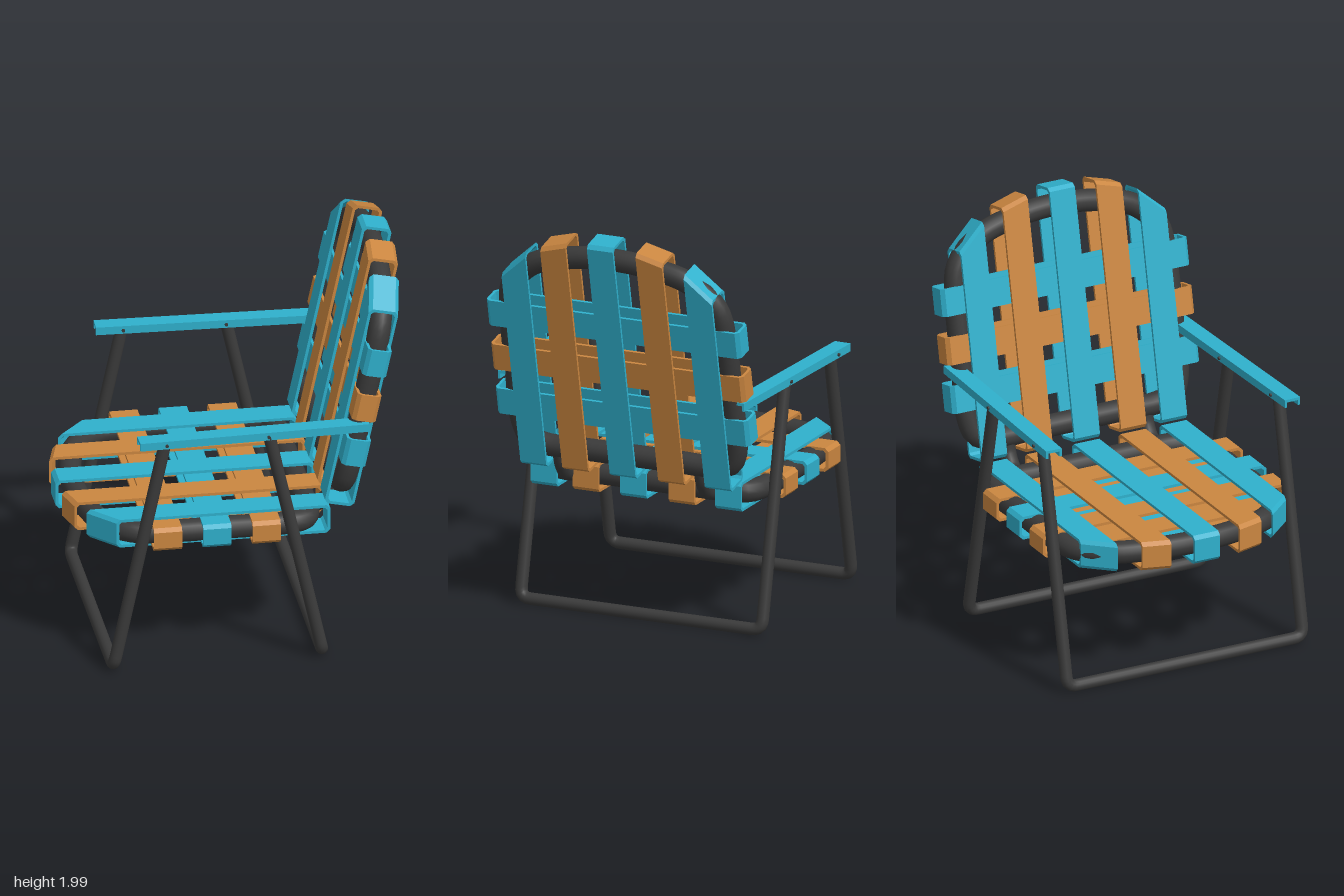
import * as THREE from 'three';

const black = new THREE.MeshStandardMaterial({ color: 0x3a3a3a });
const blue = new THREE.MeshStandardMaterial({ color: 0x2fb0cc });
const orange = new THREE.MeshStandardMaterial({ color: 0xca8640 });

function add(parent, name, geometry, material) {
  const mesh = new THREE.Mesh(geometry, material);
  mesh.name = name;
  parent.add(mesh);
  return mesh;
}

const vec = (p) => new THREE.Vector3(...p);

// Chamfered rectangle outline, as a list of points
function chamferedRect(x0, x1, h, c) {
  return [[x0 + c, -h], [x1 - c, -h], [x1, -h + c], [x1, h - c],
    [x1 - c, h], [x0 + c, h], [x0, h - c], [x0, -h + c]]
    .map(([x, y]) => new THREE.Vector2(x, y));
}

// Webbing loop: a flat ring along x, with its far end skewed across its width
function strapGeometry(x0, x1, h, width, skew = 0) {
  const t = 0.014;
  const shape = new THREE.Shape(chamferedRect(x0, x1, h, 0.018));
  shape.holes.push(new THREE.Path(chamferedRect(x0 + t, x1 - t, h - t, 0.012)));
  const g = new THREE.ExtrudeGeometry(shape, { depth: width, bevelEnabled: false });
  g.translate(0, 0, -width / 2);
  const p = g.attributes.position;
  const mid = (x0 + x1) / 2;
  for (let i = 0; i < p.count; i++) {
    if (p.getX(i) > mid) p.setX(i, p.getX(i) + skew * p.getZ(i));
  }
  g.computeVertexNormals();
  return g;
}

// Woven panel: x runs from the hinge bar to the rounded end, y is thickness
function createPanel(name, crossMaterials) {
  const panel = new THREE.Group();
  panel.name = name;

  // Rounded tube frame
  const half = [[0, 0.25], [0, 0.44], [0.03, 0.53], [0.12, 0.565], [0.4, 0.567],
    [0.7, 0.565], [0.86, 0.54], [0.98, 0.42], [1.04, 0.22]];
  const points = [[0, 0, 0], ...half.map(([x, z]) => [x, 0, z]), [1.06, 0, 0],
    ...half.map(([x, z]) => [x, 0, -z]).reverse()];
  const curve = new THREE.CatmullRomCurve3(points.map(vec), true);
  add(panel, name + 'Frame', new THREE.TubeGeometry(curve, 120, 0.055, 16, true), black);

  // Lengthwise straps: centre z, far end, end skew, material
  const long = [
    [-0.48, 1.005, 0.9, blue], [-0.235, 1.13, 0.28, orange], [0.02, 1.16, 0, blue],
    [0.27, 1.13, -0.28, orange], [0.49, 1.005, -0.9, blue],
  ];
  for (const [z, end, skew, material] of long) {
    add(panel, name + 'LongStrap', strapGeometry(-0.09, end, 0.073, 0.136, skew), material)
      .position.z = z;
  }

  // Crosswise straps
  crossMaterials.forEach((material, i) => {
    const strap = add(panel, name + 'CrossStrap', strapGeometry(-0.665, 0.665, 0.059, 0.136), material);
    strap.position.x = 0.235 + 0.238 * i;
    strap.rotation.y = Math.PI / 2;
  });
  return panel;
}

// U-shaped leg: two uprights joined by a floor bar with rounded corners
function legGeometry(footX, topX) {
  const z = 0.635, y = 0.031, r = 0.05;
  const k = (topX - footX) / (1.2 - y);
  const path = new THREE.CurvePath();
  const foot = (s) => vec([footX, y, s * z]);
  const up = (s) => vec([footX + k * r, y + r, s * z]);
  const inn = (s) => vec([footX, y, s * (z - r)]);
  path.add(new THREE.LineCurve3(vec([topX, 1.2, z]), up(1)));
  path.add(new THREE.QuadraticBezierCurve3(up(1), foot(1), inn(1)));
  path.add(new THREE.LineCurve3(inn(1), inn(-1)));
  path.add(new THREE.QuadraticBezierCurve3(inn(-1), foot(-1), up(-1)));
  path.add(new THREE.LineCurve3(up(-1), vec([topX, 1.2, -z])));
  return new THREE.TubeGeometry(path, 200, 0.03, 14);
}

// Armrest: channel section, open below
function armGeometry() {
  const w = 0.042, t = 0.012;
  const outline = [[-w, -0.02], [-w + t, -0.02], [-w + t, 0.006], [w - t, 0.006],
    [w - t, -0.02], [w, -0.02], [w, 0.02], [-w, 0.02]];
  const shape = new THREE.Shape(outline.map(([x, y]) => new THREE.Vector2(x, y)));
  const g = new THREE.ExtrudeGeometry(shape, { depth: 1.115, bevelEnabled: false });
  return g;
}

export function createModel() {
  const chair = new THREE.Group();
  chair.name = 'foldingLawnChair';

  const seat = createPanel('seat', [orange, blue, orange]);
  seat.position.set(0.35, 0.692, 0);
  seat.rotation.z = Math.PI;

  const back = createPanel('backrest', [blue, orange, blue]);
  back.position.set(0.5, 0.85, 0);
  back.rotation.z = THREE.MathUtils.degToRad(77.8);
  chair.add(seat, back);

  add(chair, 'frontLeg', legGeometry(-0.62, -0.37), black);
  add(chair, 'rearLeg', legGeometry(0.39, 0.13), black);

  for (const s of [1, -1]) {
    // Bent tube joining seat and backrest
    const bend = new THREE.CatmullRomCurve3(
      [[0.35, 0.692, s * 0.372], [0.43, 0.7, s * 0.372], [0.48, 0.76, s * 0.372], [0.5, 0.85, s * 0.372]].map(vec));
    add(chair, 'hingeTube', new THREE.TubeGeometry(bend, 24, 0.04, 14), black);

    // Armrest, angled slightly inward towards the back
    const arm = add(chair, 'armrest', armGeometry(), blue);
    arm.position.set(-0.5, 1.202, s * 0.643);
    arm.rotation.y = Math.PI / 2 + s * 0.033;

    // Rivets through armrest and legs
    for (const x of [-0.37, 0.125]) {
      const rivet = add(chair, 'rivet', new THREE.CylinderGeometry(0.008, 0.008, 0.1, 10), black);
      rivet.rotation.x = Math.PI / 2;
      rivet.position.set(x, 1.2, s * (0.643 - 0.033 * (x + 0.5)));
    }
  }
  return chair;
}
